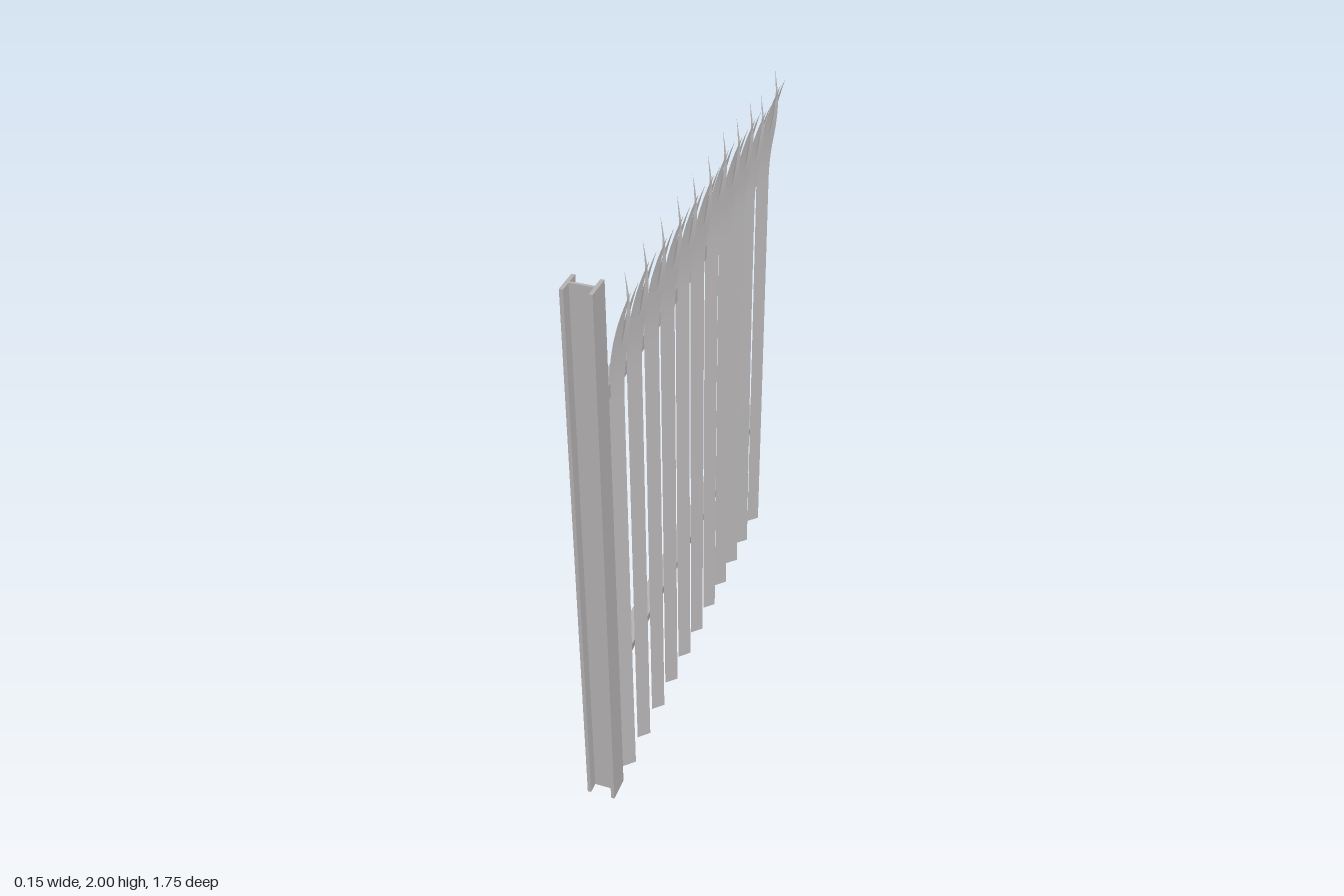
import * as THREE from 'three';
import { mergeGeometries } from 'three/addons/utils/BufferGeometryUtils.js';

const steel = new THREE.MeshStandardMaterial({ color: 0xb3b0b0, name: 'galvanisedSteel' });
const sheet = new THREE.MeshStandardMaterial({ color: 0xb3b1b1, name: 'paleSheet', side: THREE.DoubleSide });

const NOTCH = 1.76, BEND = 1.58, HALF = 0.035;

// Place a point of a pale: u runs from the ridge (0) to an edge (+-1)
function palePoint(u, y, middle) {
  const t = Math.max(0, (y - BEND) / (1.955 - BEND));
  const tn = (NOTCH - BEND) / (1.955 - BEND);
  const bend = middle && t > tn
    ? 0.07 * tn * tn + 0.012 * Math.sin((t - tn) / (1.12 - tn) * Math.PI) - 0.008 * (t - tn)
    : 0.07 * t * t;
  return [0.03 - HALF * Math.abs(u) + bend, y, HALF * u];
}

// Strip of sheet between two edge curves, rows from y0 to y1
function strip(y0, y1, rows, left, right, middle, place) {
  const pos = [], idx = [], cols = 2;
  for (let i = 0; i <= rows; i++) {
    const s = i / rows, y = y0 + (y1 - y0) * s;
    for (let j = 0; j <= cols; j++) {
      const u = left(s) + (right(s) - left(s)) * j / cols;
      pos.push(...place(palePoint(u, y, middle)));
    }
  }
  for (let i = 0; i < rows; i++) for (let j = 0; j < cols; j++) {
    const a = i * (cols + 1) + j, b = a + cols + 1;
    idx.push(a, b, a + 1, a + 1, b, b + 1);
  }
  const g = new THREE.BufferGeometry();
  g.setAttribute('position', new THREE.Float32BufferAttribute(pos, 3));
  g.setIndex(idx);
  g.computeVertexNormals();
  return g;
}

// V-section pale whose head is split into three splayed points
function pale([z0, z1, height, power]) {
  const bent = z0 !== z1;
  const place = ([x, y, z]) => {
    const k = y / 2;
    return [x - (bent ? 0.012 * k : 0), y * height / 2, z + z0 + (z1 - z0) * Math.pow(k, power)];
  };
  const parts = [];
  for (const s of [-1, 1]) {
    const mix = (a, b, p = 1) => t => s * (a + (b - a) * Math.pow(t, p));
    parts.push(
      strip(0, BEND, 10, mix(0, 0), mix(1, 1), false, place),
      strip(BEND, NOTCH, 5, mix(0, 0), mix(1, 1), false, place),
      strip(NOTCH, 1.955, 7, mix(0.42, 0.84), mix(1, 0.85, 2), false, place),
      strip(NOTCH, 2, 7, mix(0, 0), mix(0.42, 0.01), true, place));
  }
  const m = new THREE.Mesh(mergeGeometries(parts), sheet);
  m.name = 'pale';
  return m;
}

// Angle-iron rail: upright leg against the pales, flat leg to the back
function rail(name, corner, tilt, legUp, legBack) {
  const w = 0.007;
  const shape = new THREE.Shape([
    [0, 0], [0, legUp], [-w, legUp], [-w, Math.sign(legUp) * w],
    [-legBack, Math.sign(legUp) * w], [-legBack, 0],
  ].map(p => new THREE.Vector2(...p)));
  const g = new THREE.ExtrudeGeometry(shape, { depth: 1.7, bevelEnabled: false });
  g.rotateZ(tilt).translate(corner[0], corner[1], -0.875);
  const m = new THREE.Mesh(g, steel);
  m.name = name;
  return m;
}

export function createModel() {
  const model = new THREE.Group();
  model.name = 'palisadeFence';

  // I-beam post
  const post = new THREE.Group();
  post.name = 'post';
  const beam = (name, w, d, x) => {
    const m = new THREE.Mesh(new THREE.BoxGeometry(w, 2, d), steel);
    m.name = name;
    m.position.set(x, 1, 0.832);
    post.add(m);
  };
  beam('backFlange', 0.012, 0.086, -0.072);
  beam('frontFlange', 0.012, 0.086, 0.014);
  beam('web', 0.074, 0.009, -0.029);
  model.add(post);

  // Rails, the lower one turned over and slightly twisted
  model.add(rail('topRail', [-0.01, 1.55], 0, 0.05, 0.064));
  model.add(rail('bottomRail', [-0.012, 0.461], -0.16, -0.05, 0.06));

  // Pales: base z, head z, height, curve power
  const pales = [
    [0.695, 0.666, 1.96, 1.4], [0.552, 0.552, 2, 1], [0.406, 0.406, 2, 1], [0.265, 0.265, 2, 1],
    [0.12, 0.09, 1.985, 1.4], [-0.02, -0.02, 2, 1], [-0.168, -0.203, 2, 1.4], [-0.308, -0.308, 2, 1],
    [-0.45, -0.45, 2, 1], [-0.585, -0.617, 1.955, 3], [-0.737, -0.737, 2, 1],
  ];
  const row = new THREE.Group();
  row.name = 'pales';
  pales.forEach(p => row.add(pale(p)));
  model.add(row);
  return model;
}
